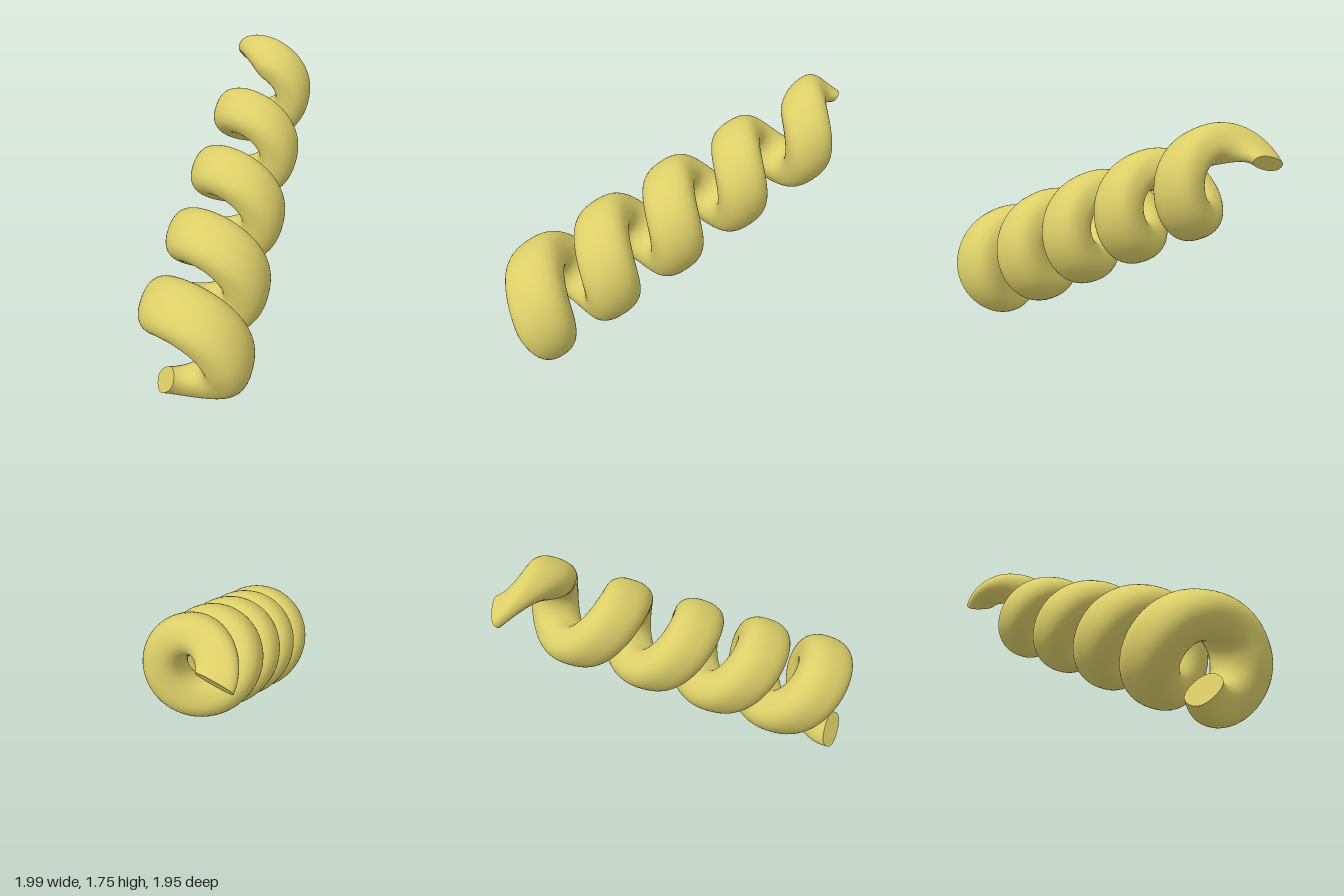
import * as THREE from 'three';

// Helix axis, its perpendicular directions, and size per turn
const AXIS = new THREE.Vector3(0.714, 0.464, -0.525).normalize();
const UP = new THREE.Vector3(0, 1, 0).addScaledVector(AXIS, -AXIS.y).normalize();
const SIDE = new THREE.Vector3().crossVectors(AXIS, UP);
const MIDDLE = new THREE.Vector3(0.069, 0.96, -0.03);
const PITCH = 0.528;
const T0 = -0.6, T1 = 4.31;   // first and last turn
const STEPS = 300, SIDES = 40;

// Everything shrinks slightly from the first coil to the last
const sizeAt = t => 1 + 0.065 * (1.8 - t);

const radialAt = t => {
  const a = t * Math.PI * 2;
  return UP.clone().multiplyScalar(Math.cos(a)).addScaledVector(SIDE, -Math.sin(a));
};

const centreAt = t => MIDDLE.clone()
  .addScaledVector(AXIS, PITCH * (t - 2))
  .addScaledVector(radialAt(t), 0.22 * sizeAt(t));

// Rounded-square outline, softened to a superellipse
const squircle = v => Math.sign(v) * Math.pow(Math.abs(v), 2 / 2.4);

function sectionAt(t) {
  const tangent = centreAt(t + 0.001).sub(centreAt(t - 0.001)).normalize();
  const normal = radialAt(t);
  const across = new THREE.Vector3().crossVectors(tangent, normal).normalize();
  const s = sizeAt(t);
  // Both ends thin into wedges that keep their radial depth
  const startThin = 1 - THREE.MathUtils.smoothstep(t, T0, T0 + 0.4);
  const endThin = 1 - THREE.MathUtils.smoothstep(T1 - t, 0, 0.36);
  const halfWidth = 0.175 * s * (1 - 0.6 * startThin - 0.65 * endThin);
  const halfDepth = 0.14 * s * (1 - 0.18 * startThin);
  const centre = centreAt(t).addScaledVector(across, 0.04 * startThin + 0.09 * endThin);
  const ring = [];
  for (let j = 0; j < SIDES; j++) {
    const a = (j / SIDES) * Math.PI * 2;
    ring.push(centre.clone()
      .addScaledVector(normal, squircle(Math.cos(a)) * halfDepth)
      .addScaledVector(across, squircle(Math.sin(a)) * halfWidth));
  }
  return { centre, ring };
}

function strandGeometry() {
  const positions = [], index = [];
  const add = p => positions.push(p.x, p.y, p.z) / 3 - 1;

  // Skin of the coiled strand
  for (let i = 0; i <= STEPS; i++) {
    sectionAt(T0 + (T1 - T0) * i / STEPS).ring.forEach(add);
  }
  for (let i = 0; i < STEPS; i++) {
    for (let j = 0; j < SIDES; j++) {
      const k = (j + 1) % SIDES;
      const a = i * SIDES + j, b = i * SIDES + k;
      index.push(a, b, b + SIDES, a, b + SIDES, a + SIDES);
    }
  }

  // Flat cut ends with their own vertices for a crisp edge
  for (const [t, last] of [[T0, false], [T1, true]]) {
    const { centre, ring } = sectionAt(t);
    const c = add(centre);
    ring.forEach(add);
    for (let j = 0; j < SIDES; j++) {
      const a = c + 1 + j, b = c + 1 + (j + 1) % SIDES;
      index.push(c, last ? a : b, last ? b : a);
    }
  }

  const geometry = new THREE.BufferGeometry();
  geometry.setAttribute('position', new THREE.Float32BufferAttribute(positions, 3));
  geometry.setIndex(index);
  geometry.computeVertexNormals();
  return geometry;
}

export function createModel() {
  const group = new THREE.Group();
  group.name = 'spiralPasta';
  const strand = new THREE.Mesh(
    strandGeometry(),
    new THREE.MeshStandardMaterial({ color: 0xdccf68 })
  );
  strand.name = 'coiledStrand';
  group.add(strand);
  return group;
}
